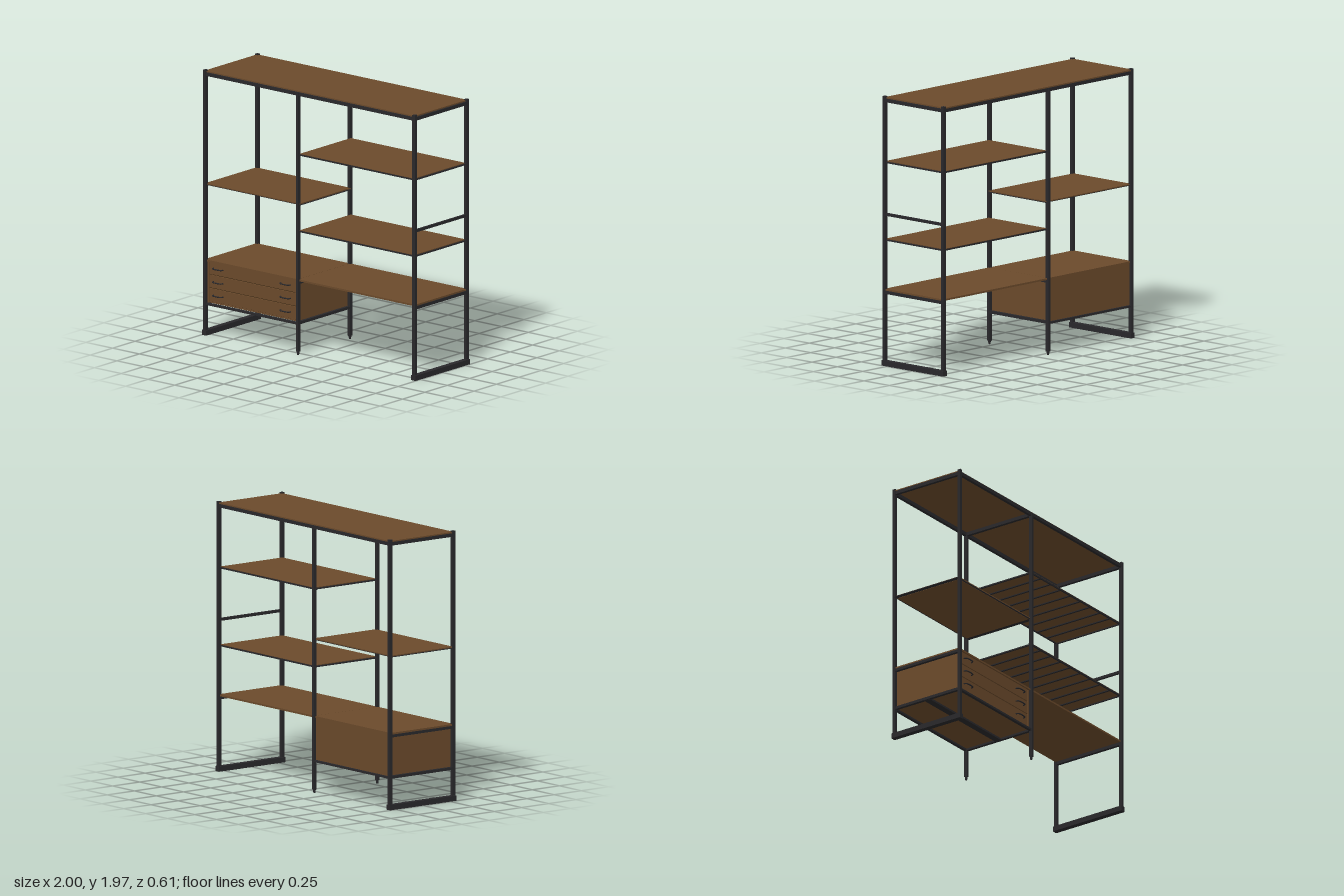
import * as THREE from 'three';

export function createModel() {
  const model = new THREE.Group();
  const mat = (name, color) => {
    const m = new THREE.MeshStandardMaterial({ color });
    m.name = name;
    return m;
  };
  const wood = mat('brown wood', 0x6b4a2b);
  const steel = mat('black steel', 0x29282b);
  const gap = mat('dark wood gap', 0x35230f);

  // Box given by its limits on each axis
  const box = (name, material, x0, x1, y0, y1, z0, z1, parent = model) => {
    const mesh = new THREE.Mesh(new THREE.BoxGeometry(x1 - x0, y1 - y0, z1 - z0), material);
    mesh.position.set((x0 + x1) / 2, (y0 + y1) / 2, (z0 + z1) / 2);
    mesh.name = name;
    parent.add(mesh);
    return mesh;
  };

  const END = 0.978, MID = -0.112, PZ = 0.289, H = 0.013;
  const barX = (name, x0, x1, y0, y1, z, h = 0.011) => box(name, steel, x0, x1, y0, y1, z - h, z + h);
  const barZ = (name, x, y0, y1, h = 0.011) => box(name, steel, x - h, x + h, y0, y1, -PZ, PZ);

  // Posts, with round levelling feet under the middle pair
  for (const z of [-PZ, PZ]) {
    for (const x of [-END, END]) box('cornerPost', steel, x - 0.012, x + 0.012, 0.02, 1.967, z - H, z + H);
    box('middlePost', steel, MID - 0.011, MID + 0.011, 0.025, 1.945, z - H, z + H);
    const foot = new THREE.Mesh(new THREE.CylinderGeometry(0.011, 0.007, 0.025, 16), steel);
    foot.position.set(MID, 0.0125, z);
    foot.name = 'middleFoot';
    model.add(foot);
  }

  // Floor runners at both ends
  for (const x of [-END, END]) box('floorRunner', steel, x - 0.02, x + 0.02, 0, 0.038, -0.305, 0.305);

  // Top frame and top board
  for (const z of [-PZ, PZ]) barX('topRail', -END, END, 1.925, 1.95, z);
  for (const x of [-END, MID, END]) barZ('topCrossRail', x, 1.925, 1.95);
  box('topBoard', wood, -0.985, 0.977, 1.95, 1.959, -0.297, 0.29);

  // Side crossbars
  barZ('endCrossbar', END, 1.095, 1.115, 0.008);
  barZ('endCrossbar', END, 0.525, 0.548);
  for (const y of [0.227, 0.527]) for (const x of [-END, MID]) barZ('drawerCrossbar', x, y, y + 0.02);

  // Upper left shelf: a plain thin board
  box('leftShelf', wood, -0.985, -0.1, 1.116, 1.123, -0.285, 0.285);
  box('leftShelfPlate', steel, -0.995, -0.09, 1.112, 1.116, -0.285, 0.285);
  // Wooden underside of the plain shelf
  box('leftShelfUnderside', wood, -0.965, -0.124, 1.11, 1.112, -0.275, 0.275);

  // Right shelves on a light steel frame with cross ribs
  for (const y of [1.478, 0.911]) {
    for (const z of [-0.281, 0.281]) barX('shelfRail', -0.125, 0.99, y, y + 0.012, z, 0.005);
    for (const x of [-0.105, 0.972]) barZ('shelfEndRail', x, y, y + 0.01, 0.006);
    for (let i = 1; i <= 8; i++) {
      const x = -0.105 + (1.077 * i) / 9;
      box('shelfRib', steel, x - 0.007, x + 0.007, y, y + 0.008, -0.278, 0.278);
    }
    box('rightShelf', wood, -0.1, 0.968, y + 0.007, y + 0.0145, -0.285, 0.285);
  }

  // Desk boards over the drawers and to the right of them
  box('drawerTop', wood, -0.985, MID - 0.001, 0.547, 0.56, -0.289, 0.289);
  box('deskBoard', wood, MID + 0.001, 0.983, 0.547, 0.56, -0.289, 0.289);

  // Drawer cabinet: bottom, sides, back and carcass front
  const X0 = -0.966, X1 = -0.125, FZ = 0.278;
  box('cabinetBottom', wood, X0, X1, 0.24, 0.252, -0.28, 0.27);
  for (const x of [X0, X1 - 0.012]) box('cabinetSide', wood, x, x + 0.012, 0.24, 0.547, -0.275, FZ);
  box('cabinetBack', wood, X0, X1, 0.24, 0.547, -0.285, -0.273);
  box('cabinetShadowGap', gap, X0 + 0.012, X1 - 0.012, 0.25, 0.547, 0.255, 0.268);
  for (const z of [-PZ, 0, PZ]) barX('cabinetRail', -END, MID, 0.226, 0.241, z, z === 0 ? 0.025 : 0.011);

  // Three drawers, each with two bowed pulls
  for (let i = 0; i < 3; i++) {
    const y = 0.303 + i * 0.1;
    const drawer = new THREE.Group();
    drawer.name = 'drawer';
    box('drawerFront', wood, X0 + 0.016, X1 - 0.016, y - 0.047, y + 0.046, 0.262, FZ, drawer);
    for (const x of [-0.868, -0.237]) {
      const path = new THREE.CatmullRomCurve3([
        [-0.045, FZ - 0.002], [-0.04, 0.294], [-0.025, 0.3], [0.025, 0.3], [0.04, 0.294], [0.045, FZ - 0.002],
      ].map(([dx, z]) => new THREE.Vector3(x + dx, y, z)));
      const pull = new THREE.Mesh(new THREE.TubeGeometry(path, 24, 0.005, 8), steel);
      pull.name = 'drawerPull';
      drawer.add(pull);
    }
    model.add(drawer);
  }
  return model;
}
